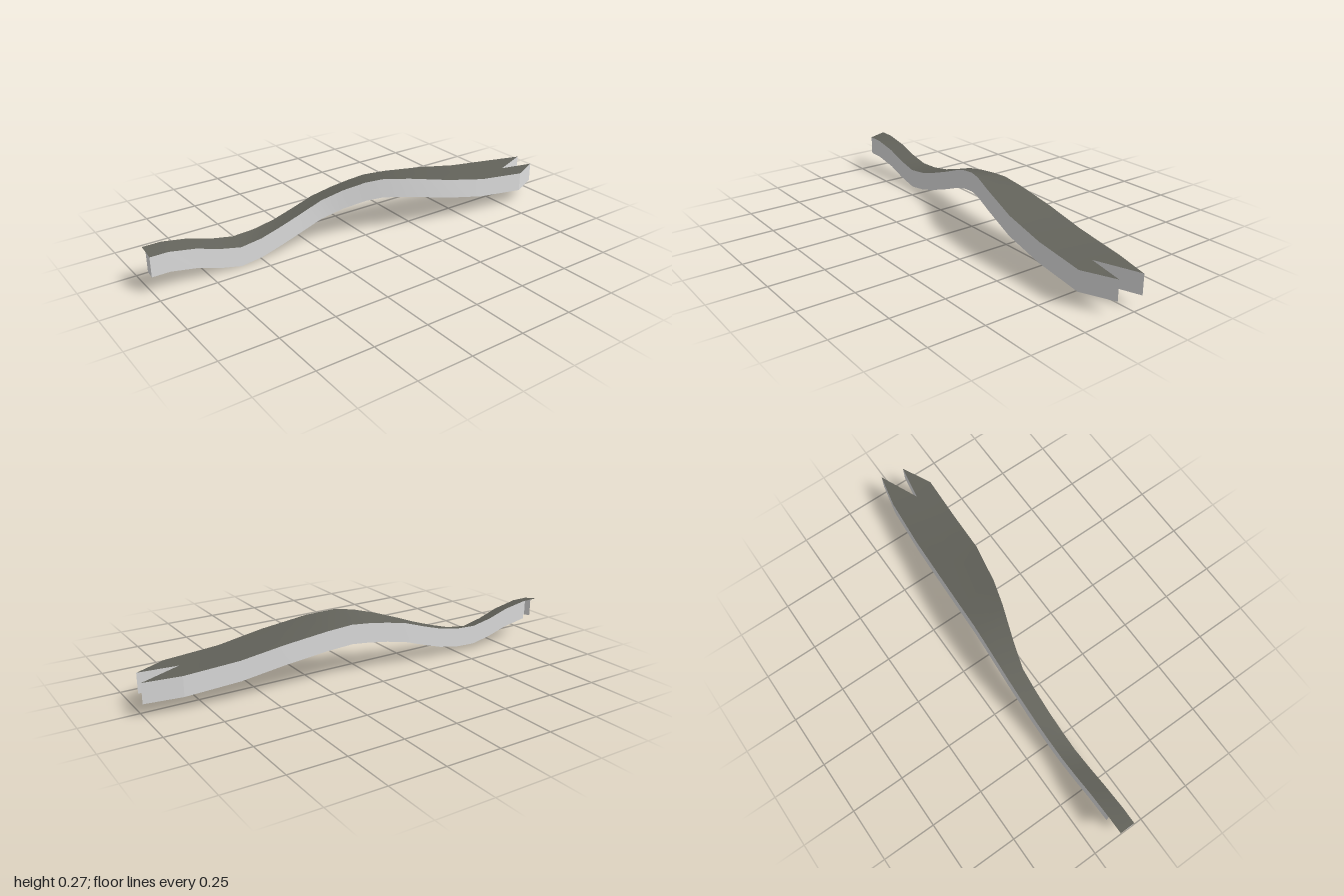
import * as THREE from 'three';

const WALL = 0.09; // height of the hanging walls

// Cross-sections from front to back: z, right x, right y, left x, left y
const stations = [
  [1, -0.14, 0.183, -0.066, 0.168],
  [0.92, -0.14, 0.183, -0.066, 0.168],
  [0.8, -0.14, 0.163, -0.067, 0.146],
  [0.7, -0.14, 0.132, -0.067, 0.113],
  [0.6, -0.14, 0.113, -0.067, 0.091],
  [0.5, -0.14, 0.118, -0.067, 0.104],
  [0.4, -0.14, 0.136, -0.067, 0.133],
  [0.3, -0.14, 0.166, -0.065, 0.167],
  [0.2, -0.139, 0.199, -0.06, 0.205],
  [0.1, -0.135, 0.219, -0.033, 0.238],
  [0, -0.13, 0.233, 0, 0.262],
  [-0.08, -0.126, 0.24, 0.028, 0.269],
  [-0.2, -0.121, 0.231, 0.065, 0.254],
  [-0.4, -0.11, 0.206, 0.108, 0.213],
  [-0.6, -0.097, 0.173, 0.122, 0.173],
  [-0.84, -0.075, 0.152, 0.137, 0.15],
];

// Swallowtail points at the back end
const tipR = [-0.04, 0.146, -1];
const notch = [0.04, 0.152, -0.81];
const tipL = [0.07, 0.147, -0.98];

function surface(points, index, material, name) {
  const g = new THREE.BufferGeometry();
  g.setAttribute('position', new THREE.Float32BufferAttribute(points.flat(), 3));
  g.setIndex(index);
  g.computeVertexNormals();
  const mesh = new THREE.Mesh(g, material);
  mesh.name = name;
  return mesh;
}

// Vertical band hanging below a top-edge path
function wall(path, material, name) {
  const points = [], index = [];
  path.forEach(([x, y, z], i) => {
    points.push([x, y, z], [x, y - WALL, z]);
    if (i) {
      const a = 2 * i - 2;
      index.push(a, a + 1, a + 2, a + 2, a + 1, a + 3);
    }
  });
  return surface(points, index, material, name);
}

export function createModel() {
  const model = new THREE.Group();
  model.name = 'windingRibbon';
  const dark = new THREE.MeshStandardMaterial({ color: 0x62625a, side: THREE.DoubleSide });
  dark.name = 'dark olive grey';
  const light = new THREE.MeshStandardMaterial({ color: 0xdedede, side: THREE.DoubleSide });
  light.name = 'light grey';

  const right = stations.map(([z, x, y]) => [x, y, z]);
  const left = stations.map(([z, , , x, y]) => [x, y, z]);
  const middle = right.map((r, i) => r.map((v, k) => (v + left[i][k]) / 2));
  const last = stations.length - 1;
  middle[last] = notch;

  // Banked top with the forked back end
  const points = [], index = [];
  for (let i = 0; i <= last; i++) {
    points.push(right[i], middle[i], left[i]);
    if (!i) continue;
    for (let k = 0; k < 2; k++) {
      const a = 3 * (i - 1) + k, b = a + 3;
      index.push(a, a + 1, b, a + 1, b + 1, b);
    }
  }
  const e = 3 * last;
  points.push(tipR, tipL);
  index.push(e, e + 1, e + 3, e + 1, e + 2, e + 4);
  model.add(surface(points, index, dark, 'top'));

  // Side walls; the right one starts a little behind the front end
  model.add(wall(right.slice(1), light, 'rightWall'));
  model.add(wall([...left].reverse(), light, 'leftWall'));

  // Half-width front end wall
  model.add(wall([middle[0], left[0]], light, 'frontWall'));

  // Fork walls at the back
  const fork = [right[last], tipR, notch, tipL, left[last]];
  for (let i = 0; i < 4; i++) {
    model.add(wall([fork[i], fork[i + 1]], light, 'forkWall' + (i + 1)));
  }
  return model;
}
